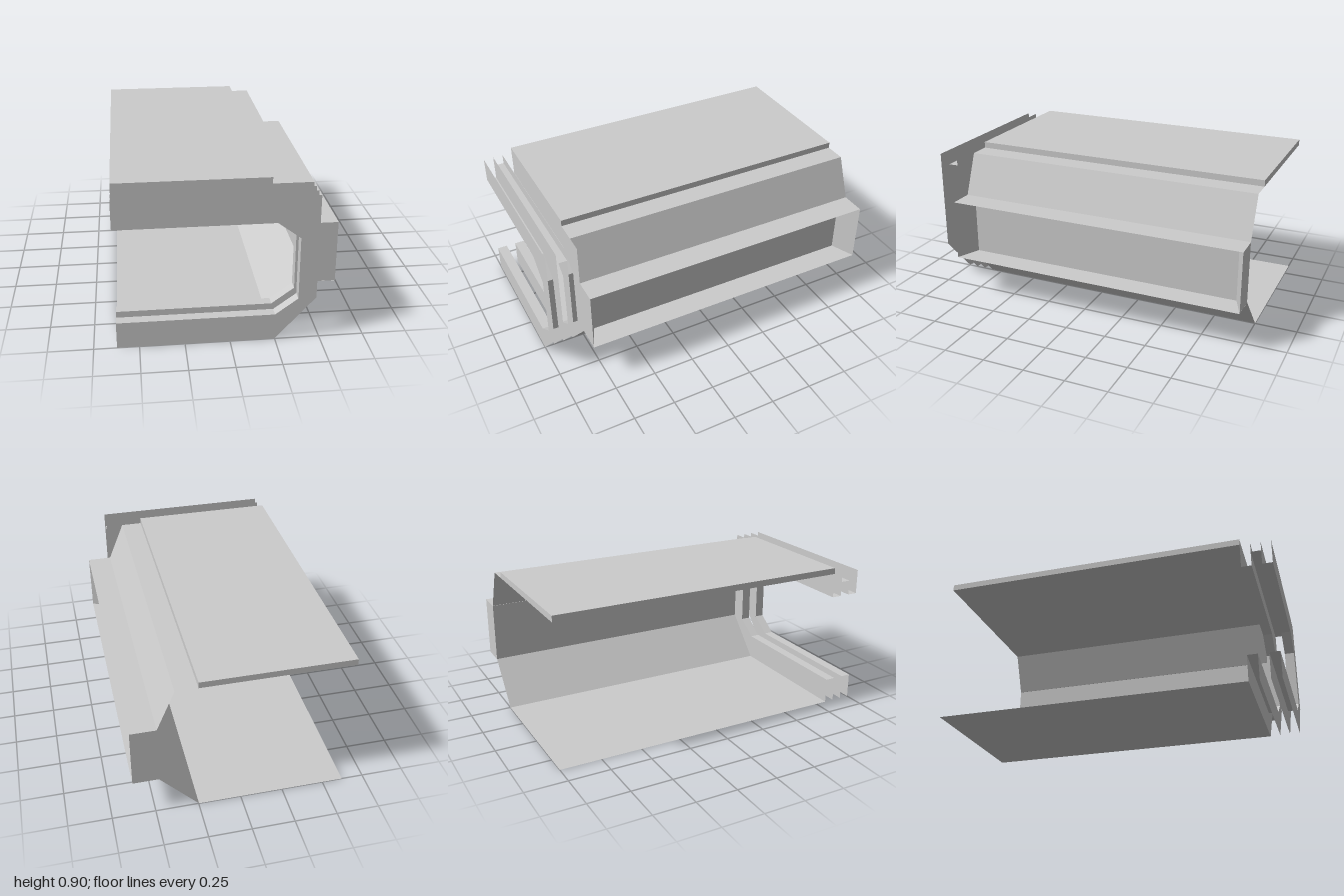
import * as THREE from 'three';

const mat = new THREE.MeshStandardMaterial({ color: 0xcccccc, flatShading: true, side: THREE.DoubleSide });
const L = -0.623, BACK = -1, WALL = 0.82;

// Open sheet swept along z through a list of [x, y] points
function strip(points, z0, z1) {
  const pos = [], index = [];
  for (let i = 0; i < points.length - 1; i++) {
    const [a, b] = [points[i], points[i + 1]];
    pos.push(a[0], a[1], z0, b[0], b[1], z0, b[0], b[1], z1, a[0], a[1], z1);
    const k = i * 4;
    index.push(k, k + 1, k + 2, k, k + 2, k + 3);
  }
  const g = new THREE.BufferGeometry();
  g.setAttribute('position', new THREE.Float32BufferAttribute(pos, 3));
  g.setIndex(index);
  g.computeVertexNormals();
  return g;
}

export function createModel() {
  const model = new THREE.Group();
  const add = (name, geometry, x = 0, y = 0, z = 0) => {
    const mesh = new THREE.Mesh(geometry, mat);
    mesh.name = name;
    mesh.position.set(x, y, z);
    model.add(mesh);
    return mesh;
  };

  // C-shaped front frame: outer and inner outlines
  const outer = [[L, 0], [0.248, 0], [0.475, 0.25], [0.475, 0.86], [L, 0.86]];
  const inner = [[L, 0.71], [0.248, 0.71], [0.375, 0.615], [0.375, 0.248], [0.248, 0.155], [L, 0.155]];
  const frame = new THREE.Shape([...outer, ...inner].map(([x, y]) => new THREE.Vector2(x, y)));
  for (const z of [WALL, 0.88, 0.94, 1]) add('frameSheet', new THREE.ShapeGeometry(frame), 0, 0, z);

  // Inner rims joining each pair of sheets, leaving a groove between
  add('rearRim', strip(inner, WALL, 0.88));
  add('frontRim', strip(inner, 0.94, 1));
  add('grooveTop', strip([[L, 0.8], [0.475, 0.8]], 0.88, 0.94));

  // Long thin shell: floor and lower slope, upper slope and ceiling
  add('floorAndLowerSlope', strip([[L, 0], [0.248, 0], [0.475, 0.25]], BACK, WALL));
  add('upperSlopeAndCeiling', strip([[0.475, 0.615], [0.375, 0.86], [L, 0.86]], BACK, WALL));

  // Raised roof slab
  add('roofSlab', new THREE.BoxGeometry(0.248 - L, 0.037, WALL - BACK),
    (0.248 + L) / 2, 0.8785, (WALL + BACK) / 2);

  // Side trough with splayed ends, drawn in plan and extruded upward
  const plan = new THREE.Shape([
    [0.475, BACK], [0.623, BACK], [0.48, -0.94], [0.48, 0.76], [0.623, WALL], [0.475, WALL],
  ].map(([x, z]) => new THREE.Vector2(x, -z)));
  const liner = new THREE.ExtrudeGeometry(plan, { depth: 0.365, bevelEnabled: false });
  liner.rotateX(-Math.PI / 2);
  add('troughLiner', liner, 0, 0.249, 0);
  add('troughTop', strip([[0.475, 0.615], [0.623, 0.615]], BACK, WALL));
  add('troughBottom', strip([[0.475, 0.248], [0.623, 0.248]], BACK, WALL));

  return model;
}
